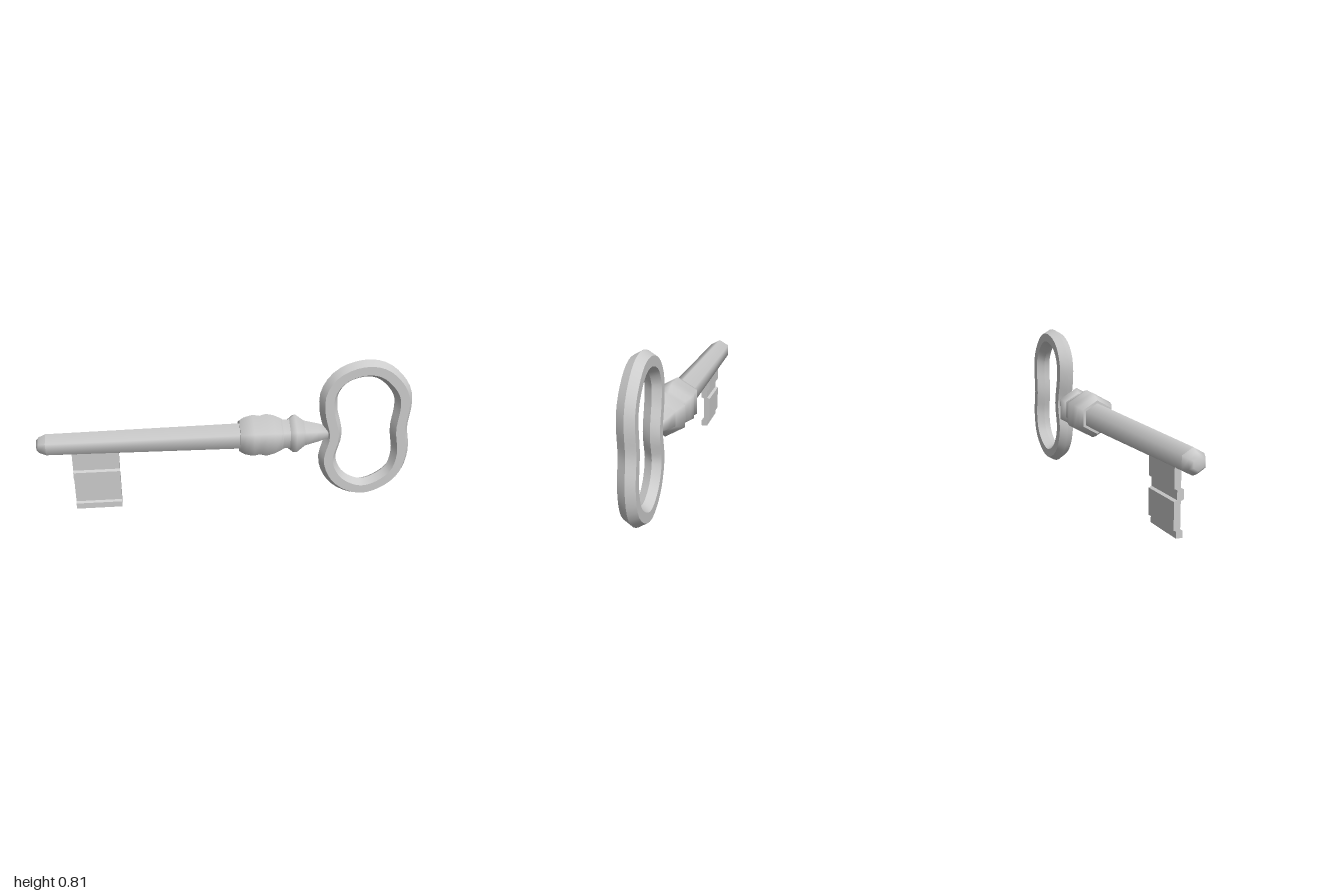
import * as THREE from 'three';

const AXIS = 0.4; // height of the shank's centre line
const metal = new THREE.MeshStandardMaterial({ color: 0xcccccc });

function addPart(group, name, geometry) {
  const mesh = new THREE.Mesh(geometry, metal);
  mesh.name = name;
  group.add(mesh);
  return mesh;
}

// Six-sided turned part along x, from [x, radius] pairs
function turned(profile) {
  const points = profile.map(([x, r]) => new THREE.Vector2(r, x));
  return new THREE.LatheGeometry(points, 6, Math.PI / 6)
    .rotateZ(-Math.PI / 2)
    .translate(0, AXIS, 0);
}

// Hexagonal bar swept round a closed curve in the xy plane, sharp along its six edges
function hexRing(curve, radius, steps) {
  const positions = [], indices = [];
  const centres = [], normals = [];
  for (let i = 0; i < steps; i++) {
    const t = curve.getTangentAt(i / steps);
    centres.push(curve.getPointAt(i / steps));
    normals.push(new THREE.Vector3(-t.y, t.x, 0).normalize()); // outward on a clockwise loop
  }
  for (let side = 0; side < 6; side++) {
    const base = positions.length / 3;
    for (let i = 0; i < steps; i++) {
      for (const k of [side, side + 1]) {
        const a = k * Math.PI / 3;
        const p = centres[i].clone().addScaledVector(normals[i], radius * Math.cos(a));
        positions.push(p.x, p.y, radius * Math.sin(a));
      }
      const a = base + 2 * i, b = base + 2 * ((i + 1) % steps);
      indices.push(a, a + 1, b, b, a + 1, b + 1);
    }
  }
  const geometry = new THREE.BufferGeometry();
  geometry.setAttribute('position', new THREE.Float32BufferAttribute(positions, 3));
  geometry.setIndex(indices);
  geometry.computeVertexNormals();
  return geometry;
}

export function createModel() {
  const key = new THREE.Group();
  key.name = 'key';

  // Shank, slightly thicker towards the collar, with a blunt tip
  addPart(key, 'tip', turned([[-1, 0], [-1, 0.03], [-0.985, 0.047], [-0.95, 0.063]]));
  addPart(key, 'shank', turned([[-0.95, 0.063], [0.08, 0.077]]));

  // Collar: two beads, a neck, a small ring and the taper into the bow
  addPart(key, 'collarEnd', turned([[0.06, 0.06], [0.06, 0.092]]));
  addPart(key, 'collarBeads', turned([
    [0.06, 0.092], [0.09, 0.113], [0.13, 0.124], [0.165, 0.116],
    [0.2, 0.126], [0.24, 0.116], [0.28, 0.096],
  ]));
  addPart(key, 'collarNeck', turned([[0.28, 0.096], [0.29, 0.088], [0.325, 0.088]]));
  addPart(key, 'collarRing', turned([[0.325, 0.088], [0.355, 0.115], [0.405, 0.076]]));
  addPart(key, 'taper', turned([[0.405, 0.076], [0.48, 0.056], [0.535, 0.036], [0.55, 0]]));

  // Bow: waisted loop, listed clockwise from the top
  const loop = [
    [0.735, 0.767], [0.81, 0.748], [0.88, 0.69], [0.925, 0.62], [0.936, 0.545],
    [0.925, 0.414], [0.944, 0.27], [0.918, 0.155], [0.845, 0.085], [0.746, 0.051],
    [0.655, 0.077], [0.585, 0.136], [0.542, 0.243], [0.567, 0.388], [0.534, 0.537],
    [0.534, 0.634], [0.58, 0.712], [0.65, 0.753],
  ].map(([x, y]) => new THREE.Vector3(x, y, 0));
  addPart(key, 'bow', hexRing(new THREE.CatmullRomCurve3(loop, true), 0.048, 56));

  // Bit: thin plate whose section steps forward at a rib and at the foot
  const front = [
    [0.37, 0.017], [0.245, 0.017], [0.238, 0.032], [0.192, 0.032],
    [0.185, 0.017], [0.052, 0.017], [0.045, 0.03], [0.012, 0.03],
  ];
  const section = [
    ...front.map(([y, z]) => new THREE.Vector2(-z, y)),
    ...front.slice().reverse().map(([y, z]) => new THREE.Vector2(0.034 - z, y)),
  ];
  const bit = new THREE.ExtrudeGeometry(new THREE.Shape(section), { depth: 0.245, bevelEnabled: false });
  addPart(key, 'bit', bit.rotateY(Math.PI / 2).translate(-0.825, 0, 0));

  return key;
}
